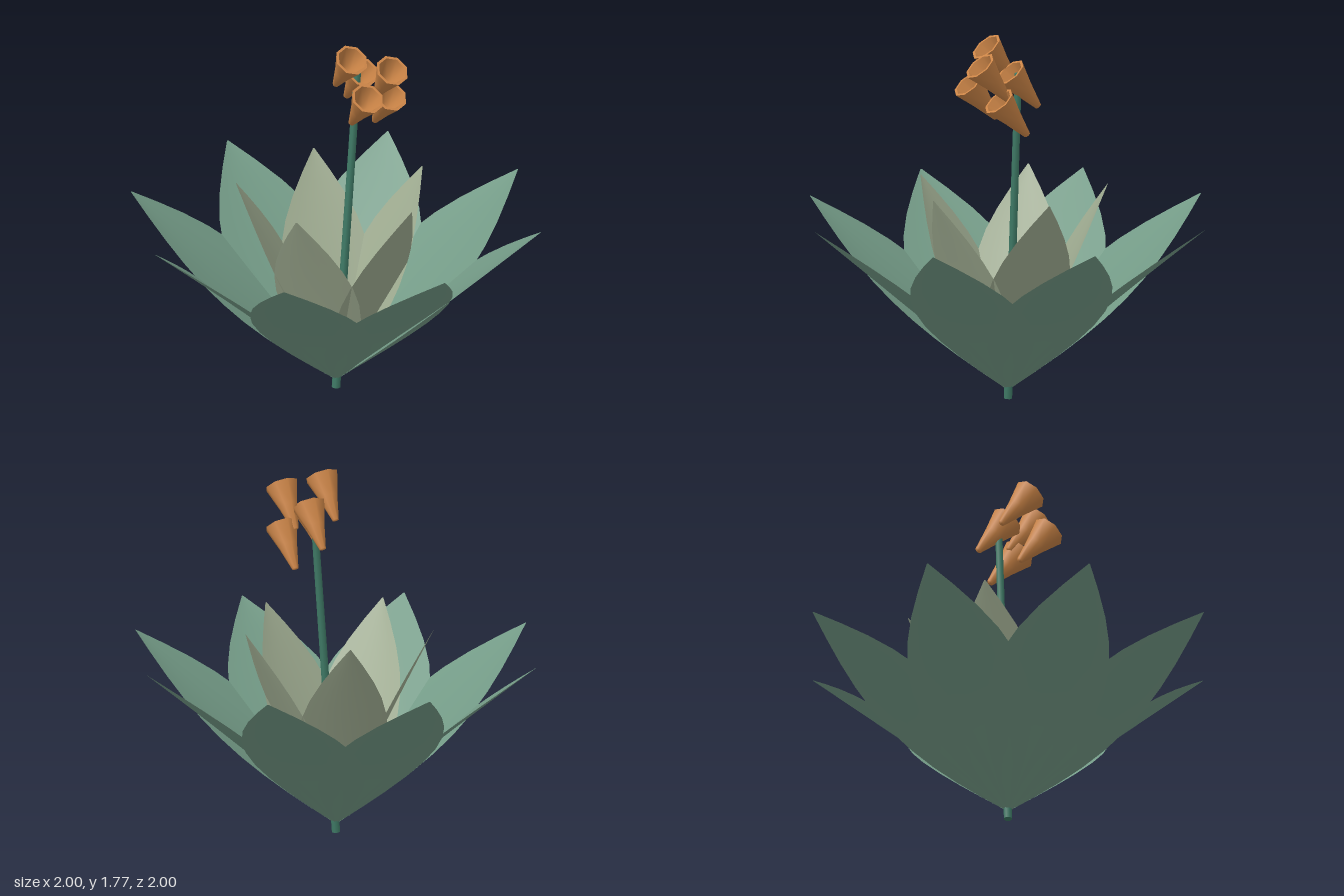
import * as THREE from 'three';

const material = (color, side = THREE.DoubleSide) => new THREE.MeshStandardMaterial({ color, side });

// Nearly flat leaf rising from the base towards +z: radius and height of the tip,
// half width, upward arch along its length and extra lift of the edges
function leafGeometry(radius, height, halfWidth, arch, lift) {
  const base = 0.04;
  const geometry = new THREE.PlaneGeometry(2, 1, 6, 10);
  const position = geometry.attributes.position;
  const rise = height - base;
  const length = Math.hypot(radius, rise);
  for (let i = 0; i < position.count; i++) {
    const s = position.getX(i);
    const t = position.getY(i) + 0.5;
    const swell = Math.sin(Math.PI * t);
    const offset = swell * (arch + lift * s * s);
    position.setXYZ(
      i,
      s * (halfWidth * swell + 0.003),
      base + rise * t + (offset * radius) / length,
      radius * t - (offset * rise) / length
    );
  }
  geometry.computeVertexNormals();
  return geometry;
}

// Ring of identical leaves around the stem
function leafRing(name, count, startAngle, geometry, mat) {
  const ring = new THREE.Group();
  ring.name = name + 'Ring';
  for (let i = 0; i < count; i++) {
    const leaf = new THREE.Mesh(geometry, mat);
    leaf.name = name;
    leaf.rotation.y = startAngle + (i / count) * Math.PI * 2;
    ring.add(leaf);
  }
  return ring;
}

export function createModel() {
  const model = new THREE.Group();
  model.name = 'plant';

  // Leaves
  model.add(leafRing('outerLeaf', 8, 0, leafGeometry(1, 0.9, 0.285, 0.012, 0.02), material(0x739a86)));
  model.add(leafRing('innerLeaf', 5, Math.PI / 2, leafGeometry(0.475, 1.03, 0.21, 0.006, 0.014), material(0xa0ad92)));

  // Slightly leaning stem
  const path = new THREE.LineCurve3(new THREE.Vector3(0, 0, 0), new THREE.Vector3(0.118, 1.6, 0));
  const stem = new THREE.Mesh(
    new THREE.CylinderGeometry(0.018, 0.021, path.getLength(), 8),
    material(0x3f7a66, THREE.FrontSide)
  );
  stem.name = 'stem';
  stem.position.copy(path.getPoint(0.5));
  stem.quaternion.setFromUnitVectors(new THREE.Vector3(0, 1, 0), path.getTangent(0));
  model.add(stem);

  // Hollow conical blossoms, all tilted towards the front; doubled rim points keep the lip sharp
  const profile = [
    [0, 0], [0.016, 0.004], [0.047, 0.125], [0.081, 0.235], [0.081, 0.235],
    [0.068, 0.235], [0.068, 0.235], [0.036, 0.125], [0, 0.03],
  ];
  const bell = new THREE.LatheGeometry(profile.map(([x, y]) => new THREE.Vector2(x, y)), 8);
  const bellMaterial = material(0xcc8547, THREE.FrontSide);
  const axis = new THREE.Vector3(0, 0.18, 0.15).normalize();
  const rimCentres = [
    [0.015, 1.72, 0.12], [0.175, 1.67, 0.225], [0.04, 1.555, 0.225],
    [0.215, 1.5, 0.145], [0.12, 1.61, 0.045],
  ];
  for (const centre of rimCentres) {
    const blossom = new THREE.Mesh(bell, bellMaterial);
    blossom.name = 'blossom';
    blossom.quaternion.setFromUnitVectors(new THREE.Vector3(0, 1, 0), axis);
    blossom.position.set(...centre).addScaledVector(axis, -0.235);
    model.add(blossom);
  }
  return model;
}
